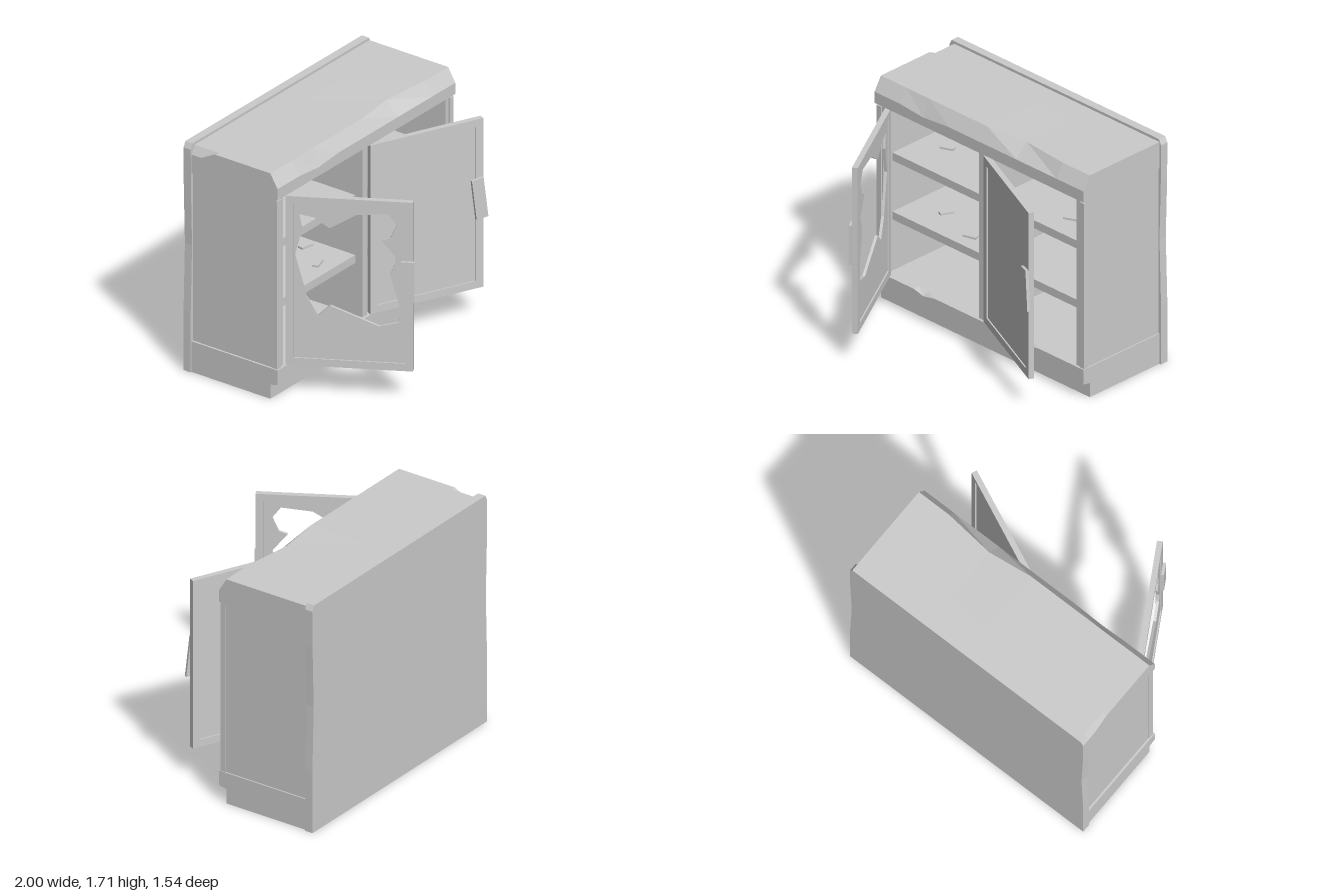
import * as THREE from 'three';

const material = new THREE.MeshStandardMaterial({ color: 0xcccccc, flatShading: true });

function add(parent, name, geometry, x = 0, y = 0, z = 0) {
  const mesh = new THREE.Mesh(geometry, material);
  mesh.name = name;
  mesh.position.set(x, y, z);
  parent.add(mesh);
  return mesh;
}

// Box given by its minimum and maximum on each axis
function block(parent, name, x0, x1, y0, y1, z0, z1) {
  return add(parent, name, new THREE.BoxGeometry(x1 - x0, y1 - y0, z1 - z0),
    (x0 + x1) / 2, (y0 + y1) / 2, (z0 + z1) / 2);
}

// Joins [z, y] profiles placed along x into a closed solid
function loft(sections) {
  const pos = [];
  const put = (s, j) => pos.push(s.x, s.profile[j][1], s.profile[j][0]);
  const n = sections[0].profile.length;
  for (let i = 0; i + 1 < sections.length; i++) {
    const a = sections[i], b = sections[i + 1];
    for (let j = 0; j < n; j++) {
      const k = (j + 1) % n;
      put(a, j); put(a, k); put(b, k);
      put(a, j); put(b, k); put(b, j);
    }
  }
  for (const [s, flip] of [[sections[0], true], [sections[sections.length - 1], false]]) {
    const outline = s.profile.map(([z, y]) => new THREE.Vector2(-z, y));
    for (const [p, q, r] of THREE.ShapeUtils.triangulateShape(outline, [])) {
      put(s, p); put(s, flip ? r : q); put(s, flip ? q : r);
    }
  }
  const g = new THREE.BufferGeometry();
  g.setAttribute('position', new THREE.Float32BufferAttribute(pos, 3));
  g.computeVertexNormals();
  return g;
}

const toPoints = (list) => list.map(([x, y]) => new THREE.Vector2(x, y));
const rect = (x0, y0, x1, y1) => toPoints([[x0, y0], [x1, y0], [x1, y1], [x0, y1]]);

function plate(outline, hole, depth) {
  const shape = new THREE.Shape(outline);
  if (hole) shape.holes.push(new THREE.Path(hole));
  return new THREE.ExtrudeGeometry(shape, { depth, bevelEnabled: false });
}

// Door hinged at its front left edge, with a frame, recessed panel and handle
function door(name, x, z, degrees, hole, handleTilt, handleWidth) {
  const W = 0.86, Y0 = 0.235, Y1 = 1.5, F = 0.055, T = 0.04;
  const group = new THREE.Group();
  group.name = name;
  const inner = rect(F, Y0 + F, W - F, Y1 - F);
  add(group, 'doorFrame', plate(rect(0, Y0, W, Y1), inner, T), 0, 0, -T);
  add(group, 'doorPanel', plate(inner, hole, 0.02), 0, 0, -T / 2 - 0.01);
  const handle = add(group, 'doorHandle', new THREE.BoxGeometry(handleWidth, 0.3, 0.02), 0.826, 0.91, 0.01);
  handle.rotation.z = handleTilt;
  group.position.set(x, 0, z);
  group.rotation.y = -THREE.MathUtils.degToRad(degrees);
  return group;
}

export function createModel() {
  const model = new THREE.Group();
  model.name = 'brokenCabinet';

  // Back panel with worn side edges
  const side = [[1, 0], [1, 0.45], [0.985, 0.95], [0.998, 1.4], [1, 1.67], [0.98, 1.71]];
  const mirrored = side.map(([x, y]) => [-x, y]).reverse();
  add(model, 'backPanel', plate(toPoints([...side, ...mirrored]), null, 0.06), 0, 0, -0.76);

  // Base with an overhanging ledge: [x, chip below, chip above]
  const ledge = [[-0.99, 0.012, 0], [-0.86, 0, 0], [-0.62, 0, 0], [-0.53, 0, 0.022], [-0.42, 0, 0],
    [-0.12, 0, 0], [0.17, 0.022, 0], [0.37, 0, 0], [0.48, 0, 0.014], [0.56, 0, 0],
    [0.93, 0, 0], [0.985, 0.012, 0]];
  add(model, 'base', loft(ledge.map(([x, low, high]) => ({
    x,
    profile: [[-0.7, 0], [-0.7, 0.23], [-0.03, 0.23], [0.02, 0.23 - high],
      [0.02, 0.107 + low], [-0.04, 0.107], [-0.04, 0]],
  }))));

  // Sloped crown: [x, dip of upper edge, drop of lower edge, notch at the back]
  const crown = [[-0.99, 0, 0, 0.06], [-0.955, 0, 0, 0], [-0.75, 0, 0, 0], [-0.53, 0, 0.02, 0],
    [-0.3, 0, 0, 0], [0.02, 0, 0, 0], [0.35, 0.022, 0, 0], [0.73, 0, 0, 0], [0.985, 0, 0, 0]];
  add(model, 'crown', loft(crown.map(([x, dip, drop, notch]) => ({
    x,
    profile: [[-0.7, 1.49], [-0.7, 1.69 - notch], [-0.62, 1.69 - notch], [-0.5, 1.69],
      [-0.04 - dip * 1.8, 1.69 - dip * 0.2], [0.02, 1.59 - drop], [0.02, 1.505], [-0.01, 1.49]],
  }))));

  // Side walls with front stiles
  for (const s of [-1, 1]) {
    const wall = block(model, 'sideWall', 0.9, 0.975, 0.23, 1.49, -0.7, 0);
    const stile = block(model, 'frontStile', 0.938, 0.98, 0.23, 1.49, -0.03, 0.01);
    wall.position.x *= s;
    stile.position.x *= s;
  }

  // Divider and shelves
  block(model, 'divider', -0.02, 0.028, 0.23, 1.49, -0.7, 0);
  for (const [y0, y1] of [[0.62, 0.68], [1.07, 1.13]]) {
    block(model, 'leftShelf', -0.9, -0.02, y0, y1, -0.7, -0.06);
    block(model, 'rightShelf', 0.028, 0.9, y0, y1, -0.7, -0.06);
  }

  // Loose chips on the shelves: [x, y, z, length, turn]
  for (const [x, y, z, length, turn] of [[-0.68, 1.137, -0.36, 0.1, 0.4], [-0.63, 0.687, -0.3, 0.1, 1.1],
    [-0.28, 0.687, -0.18, 0.1, 0.3], [-0.12, 0.687, -0.4, 0.1, -0.2], [0.6, 1.137, -0.25, 0.1, 0.4]]) {
    const chip = add(model, 'woodChip', new THREE.BoxGeometry(length, 0.015, 0.045), x, y, z);
    chip.rotation.y = turn;
  }

  // Doors, one with a jagged hole
  const hole = toPoints([[0.086, 1.365], [0.19, 1.345], [0.296, 1.27], [0.475, 1.38], [0.69, 1.4],
    [0.75, 1.32], [0.705, 1.22], [0.645, 1.2], [0.75, 1.07], [0.705, 0.94], [0.78, 0.67],
    [0.76, 0.59], [0.63, 0.555], [0.3, 0.69], [0.216, 0.61], [0.14, 0.75], [0.062, 1.05], [0.11, 1.25]]);
  model.add(door('brokenDoor', -0.895, 0.015, 60, hole, 0, 0.09));
  model.add(door('rightDoor', 0.04, 0.02, 24.5, null, 0.12, 0.09));

  return model;
}
